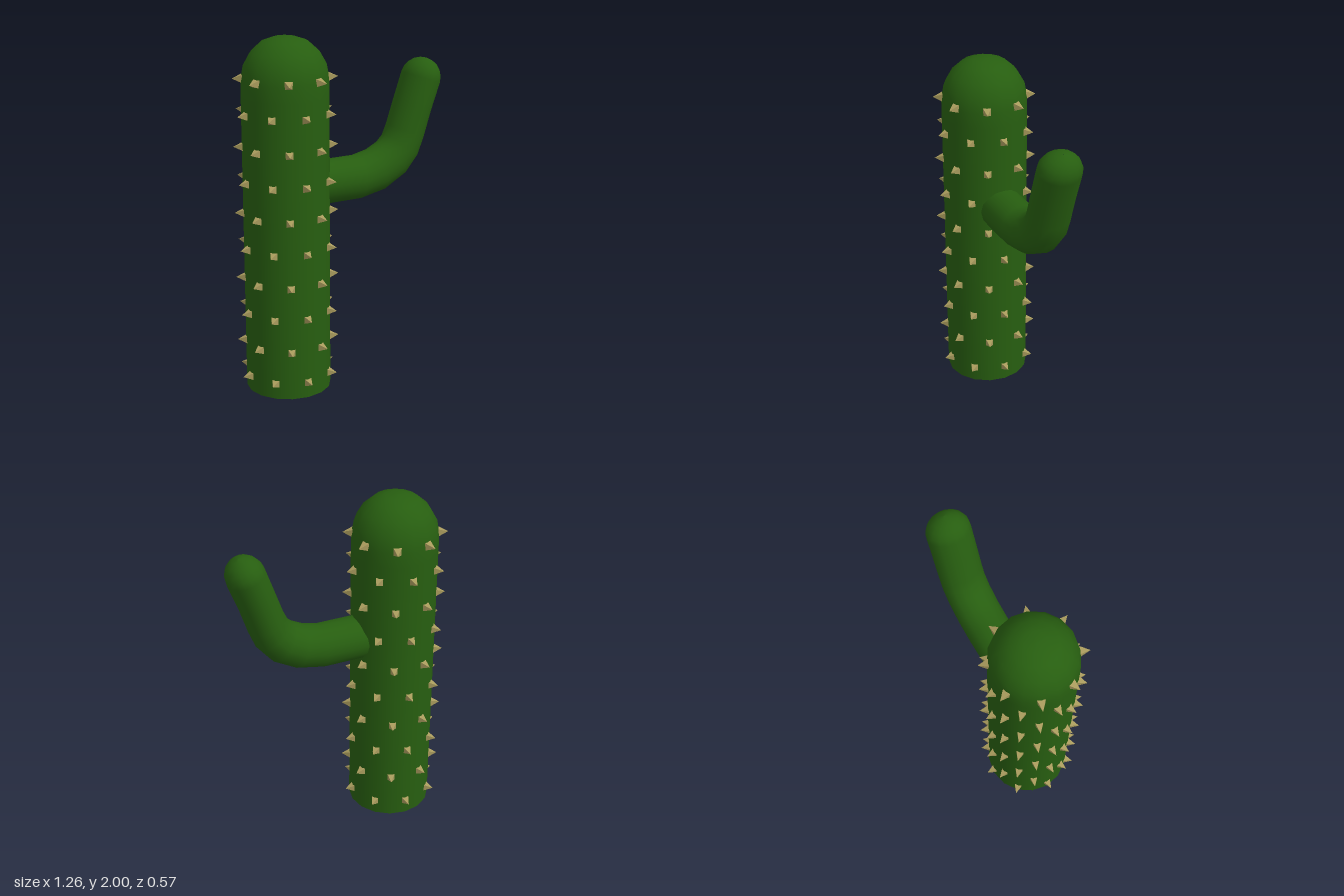
import * as THREE from 'three';

const TRUNK_X = -0.345;
const TRUNK_R = 0.24;

// Skin from rings [x, y, tilt, in-plane radius, z radius] along an upright path
function loft(rings, sides) {
  const pos = [], idx = [];
  for (const [x, y, t, rn, rz] of rings) {
    for (let j = 0; j < sides; j++) {
      const a = (j / sides) * Math.PI * 2;
      const n = Math.cos(a) * rn;
      pos.push(x - Math.sin(t) * n, y + Math.cos(t) * n, Math.sin(a) * rz);
    }
  }
  for (let i = 0; i < rings.length - 1; i++) {
    for (let j = 0; j < sides; j++) {
      const k = (j + 1) % sides;
      const a = i * sides + j, b = i * sides + k, c = b + sides, d = a + sides;
      idx.push(a, b, c, a, c, d);
    }
  }
  const g = new THREE.BufferGeometry();
  g.setAttribute('position', new THREE.Float32BufferAttribute(pos, 3));
  g.setIndex(idx);
  g.computeVertexNormals();
  return g;
}

export function createModel() {
  const group = new THREE.Group();
  const green = new THREE.MeshStandardMaterial({ color: 0x275e10 });
  green.name = 'cactus green';
  const tan = new THREE.MeshStandardMaterial({ color: 0xa89a5c });
  tan.name = 'spine tan';

  const add = (name, geometry, material, parent = group) => {
    const mesh = new THREE.Mesh(geometry, material);
    mesh.name = name;
    parent.add(mesh);
    return mesh;
  };

  // Trunk with domed top
  const profile = [
    [TRUNK_R, 0], [TRUNK_R, 0.9], [TRUNK_R, 1.68], [TRUNK_R, 1.77], [0.225, 1.85],
    [0.186, 1.92], [0.126, 1.975], [0.06, 1.998], [0, 2],
  ].map(([r, y]) => new THREE.Vector2(r, y));
  add('trunk', new THREE.LatheGeometry(profile, 16), green).position.x = TRUNK_X;

  // Flat underside
  const base = add('trunkBase', new THREE.CircleGeometry(TRUNK_R, 16), green);
  base.rotation.x = Math.PI / 2;
  base.position.x = TRUNK_X;

  // Bent arm, slightly flattened above the elbow, with a rounded tip
  const tilt = 1.23;
  const rings = [
    [-0.25, 1.165, 0, 0.125, 0.125],
    [0.1, 1.165, 0.03, 0.125, 0.125],
    [0.225, 1.192, 0.32, 0.125, 0.125],
    [0.325, 1.247, 0.65, 0.122, 0.125],
    [0.385, 1.315, 0.95, 0.115, 0.125],
    [0.418, 1.395, 1.18, 0.11, 0.125],
    [0.465, 1.54, tilt, 0.108, 0.125],
  ];
  for (let i = 0; i <= 5; i++) {
    const a = (i / 5) * Math.PI / 2;
    const s = Math.max(Math.cos(a), 0.003), d = 0.115 * Math.sin(a);
    rings.push([0.52 + d * Math.cos(tilt), 1.695 + d * Math.sin(tilt), tilt, 0.11 * s, 0.125 * s]);
  }
  add('arm', loft(rings, 16), green);

  // Staggered rows of four-sided spines pointing outward
  const spines = new THREE.Group();
  spines.name = 'spines';
  spines.position.x = TRUNK_X;
  group.add(spines);
  const spine = new THREE.ConeGeometry(0.031, 0.055, 4).toNonIndexed();
  spine.computeVertexNormals();
  spine.rotateY(Math.PI / 4);
  spine.rotateX(Math.PI / 2);
  for (let row = 0; row < 10; row++) {
    for (let i = 0; i < 8; i++) {
      const a = ((i + (row % 2) / 2) / 8) * Math.PI * 2;
      const r = TRUNK_R + 0.0195;
      const mesh = add('spine', spine, tan, spines);
      mesh.position.set(Math.sin(a) * r, 0.09 + row * 0.1877, Math.cos(a) * r);
      mesh.rotation.y = a;
    }
  }
  return group;
}
